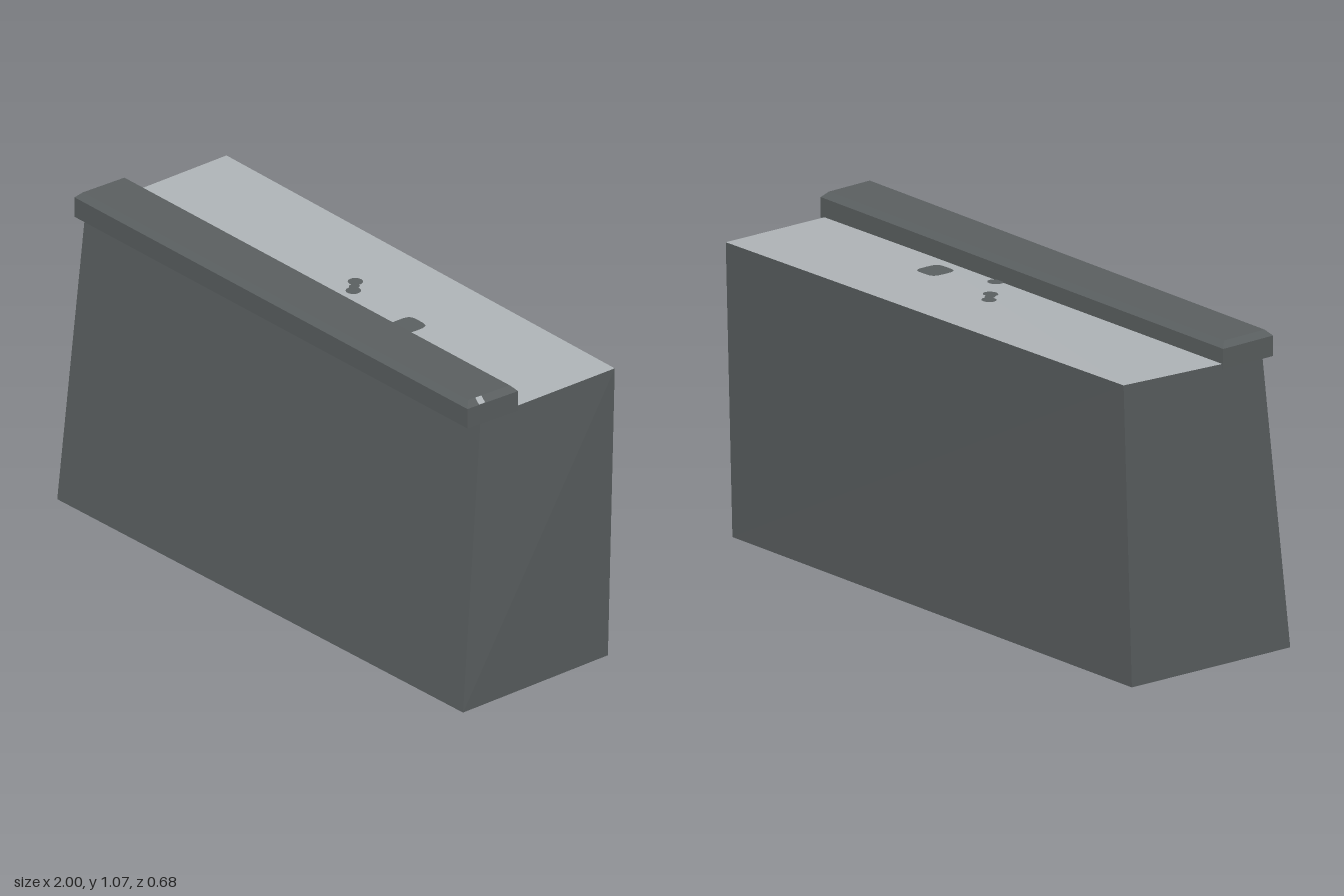
import * as THREE from 'three';

const darkStone = new THREE.MeshStandardMaterial({ color: 0x5b6061 });
const paleTop = new THREE.MeshStandardMaterial({ color: 0xb0b5b8 });

// Flat-shaded mesh from quads, corners anticlockwise from outside
function quadMesh(name, material, quads) {
  const points = quads.flatMap(([a, b, c, d]) => [a, b, c, a, c, d]).flat();
  const geometry = new THREE.BufferGeometry();
  geometry.setAttribute('position', new THREE.Float32BufferAttribute(points, 3));
  geometry.computeVertexNormals();
  const mesh = new THREE.Mesh(geometry, material);
  mesh.name = name;
  return mesh;
}

// Corners of the wall: f/b front/back, R = +x, L = -x, 0/1 bottom/top
const fL0 = [-1, 0, 0.337], fR0 = [1, 0, 0.313], bL0 = [-0.98, 0, -0.3], bR0 = [0.967, 0, -0.302];
const fL1 = [-0.983, 0.989, 0.236], fR1 = [0.963, 0.981, 0.212];
const bL1 = [-0.975, 1.01, -0.33], bR1 = [0.957, 0.991, -0.338];

// Height of the folded top surface
function planeHeight(a, b, c) {
  const plane = new THREE.Plane().setFromCoplanarPoints(...[a, b, c].map((p) => new THREE.Vector3(...p)));
  const n = plane.normal;
  return (x, z) => -(plane.constant + n.x * x + n.z * z) / n.y;
}
const backHalf = planeHeight(fR1, bR1, bL1);
const frontHalf = planeHeight(fR1, bL1, fL1);
const topHeight = (x, z) => Math.min(backHalf(x, z), frontHalf(x, z));

// Thin rounded stain laid on the top surface; power > 1 squares it off
function stain(name, x, z, rx, rz, power = 1) {
  const geometry = new THREE.CircleGeometry(1, 24).rotateX(-Math.PI / 2);
  const pos = geometry.attributes.position;
  const squash = (v) => Math.sign(v) * Math.pow(Math.abs(v), 1 / power);
  for (let i = 0; i < pos.count; i++) {
    const px = x + squash(pos.getX(i)) * rx;
    const pz = z + squash(pos.getZ(i)) * rz;
    pos.setXYZ(i, px, topHeight(px, pz) + 0.003, pz);
  }
  geometry.computeVertexNormals();
  const mesh = new THREE.Mesh(geometry, darkStone);
  mesh.name = name;
  return mesh;
}

export function createModel() {
  const group = new THREE.Group();
  group.name = 'wall';

  // Leaning wall block
  group.add(quadMesh('wallBody', darkStone, [
    [fL0, fR0, fR1, fL1],
    [fR0, bR0, bR1, fR1],
    [bR0, bL0, bL1, bR1],
    [fL0, fL1, bL1, bL0],
    [bL0, bR0, fR0, fL0],
  ]));
  group.add(quadMesh('topSurface', paleTop, [[fR1, bR1, bL1, fL1]]));

  // Coping beam with a chamfered top
  const ring = (y, i) => [
    [-0.985 + i, y, 0.279 - i], [0.98 - i, y, 0.279 - i],
    [0.98 - i, y, 0.073 + i], [-0.985 + i, y, 0.073 + i],
  ];
  const rings = [ring(0.978, 0), ring(1.046, 0), ring(1.065, 0.019)];
  const beam = [[...rings[0]].reverse(), rings[2]];
  for (let r = 0; r < 2; r++) {
    for (let k = 0; k < 4; k++) {
      const n = (k + 1) % 4;
      beam.push([rings[r][k], rings[r][n], rings[r + 1][n], rings[r + 1][k]]);
    }
  }
  group.add(quadMesh('copingBeam', darkStone, beam));

  // Pale chip on the end chamfer
  group.add(quadMesh('paleChip', paleTop, [[
    [0.981, 1.048, 0.233], [0.981, 1.048, 0.208], [0.963, 1.066, 0.208], [0.963, 1.066, 0.233],
  ]]));

  // Dark stains on the top
  group.add(stain('stainSmallBack', -0.031, -0.087, 0.025, 0.024));
  group.add(stain('stainSmallBridge', -0.008, -0.064, 0.016, 0.018));
  group.add(stain('stainSmallFront', 0.013, -0.043, 0.025, 0.024));
  group.add(stain('stainByBeam', 0.104, 0.054, 0.026, 0.026));
  group.add(stain('stainLarge', 0.31, -0.02, 0.047, 0.05, 2));

  return group;
}
